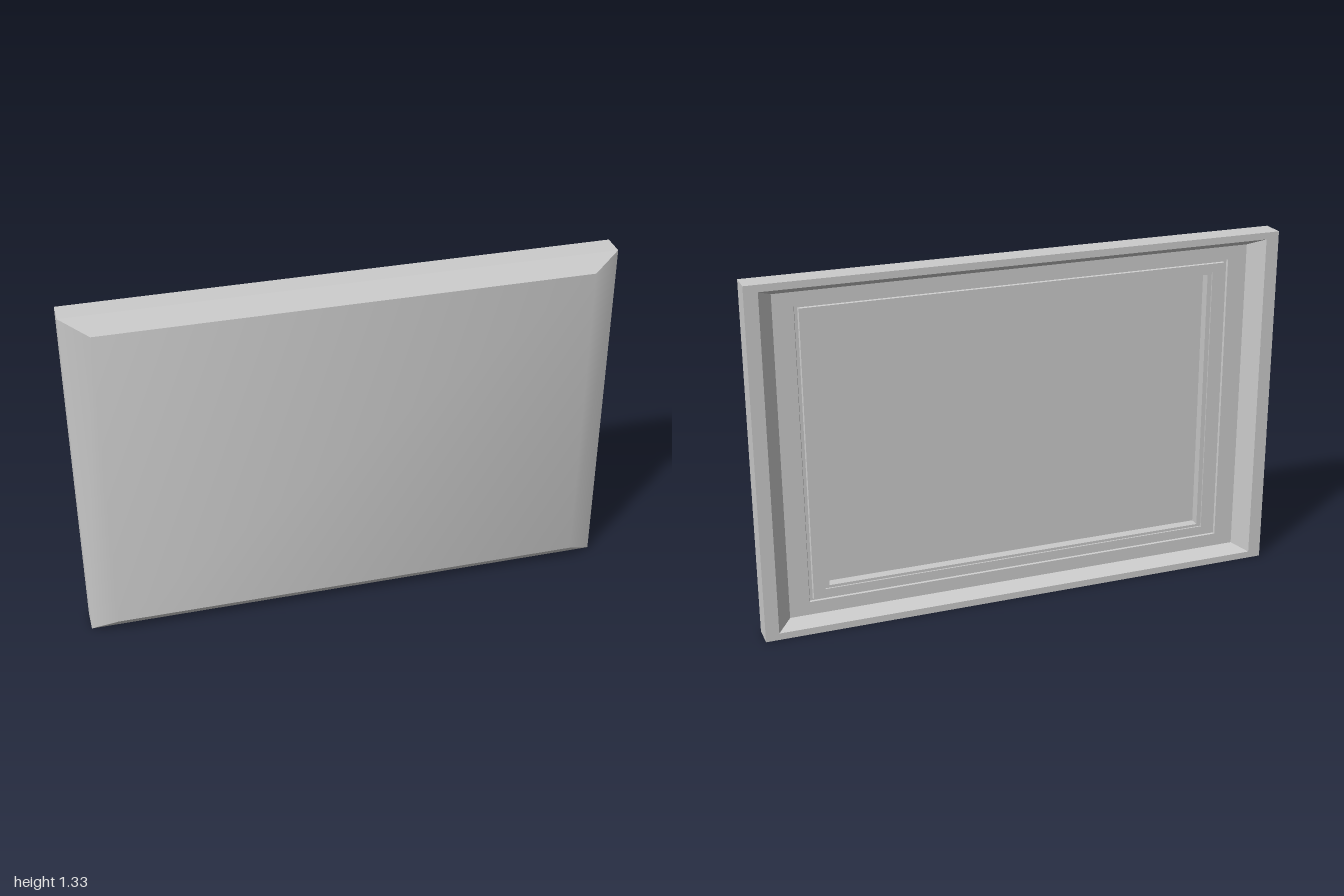
import * as THREE from 'three';
import { toCreasedNormals } from 'three/addons/utils/BufferGeometryUtils.js';

const MID_Y = 0.667;

// Skins a row of nested rectangles [halfWidth, halfHeight, z], running from the
// front outward, round the rim and inward at the back. Caps close either end.
function rectLoft(rings, capFront, capBack) {
  const signs = [[1, 1], [-1, 1], [-1, -1], [1, -1]];
  const positions = [];
  const index = [];
  for (const [hx, hy, z] of rings) {
    for (const [sx, sy] of signs) positions.push(sx * hx, MID_Y + sy * hy, z);
  }
  for (let r = 0; r < rings.length - 1; r++) {
    for (let i = 0; i < 4; i++) {
      const j = (i + 1) % 4;
      const a = r * 4 + i, d = r * 4 + j;
      const b = a + 4, c = d + 4;
      index.push(a, b, c, a, c, d);
    }
  }
  if (capFront) index.push(0, 1, 2, 0, 2, 3);
  if (capBack) {
    const k = (rings.length - 1) * 4;
    index.push(k, k + 2, k + 1, k, k + 3, k + 2);
  }
  const geometry = new THREE.BufferGeometry();
  geometry.setAttribute('position', new THREE.Float32BufferAttribute(positions, 3));
  geometry.setIndex(index);
  return toCreasedNormals(geometry, Math.PI / 6);
}

export function createModel() {
  const group = new THREE.Group();
  group.name = 'bevelledPanel';
  const material = new THREE.MeshStandardMaterial({ color: 0xcccccc });

  const add = (name, rings, capFront = false, capBack = false) => {
    const mesh = new THREE.Mesh(rectLoft(rings, capFront, capBack), material);
    mesh.name = name;
    group.add(mesh);
  };

  // Front face with bevelled border, and the straight outer sides
  add('frontShell', [
    [0.9, 0.612, 0.07],
    [1, 0.667, 0.018],
    [1, 0.667, -0.07],
  ], true);

  // Flat back rim and the sloping walls of the recess
  add('backRim', [
    [1, 0.667, -0.07],
    [0.95, 0.641, -0.07],
    [0.897, 0.614, -0.018],
  ]);

  // Recess floor with a thin groove, then a small step at the opening
  add('backMoulding', [
    [0.897, 0.614, -0.018],
    [0.822, 0.563, -0.018],
    [0.819, 0.561, -0.01],
    [0.808, 0.555, -0.01],
    [0.805, 0.553, -0.018],
    [0.76, 0.521, -0.018],
    [0.76, 0.521, -0.012],
    [0.743, 0.511, -0.012],
  ]);

  // Deep inner panel
  add('innerPanel', [
    [0.743, 0.511, -0.012],
    [0.743, 0.511, 0.025],
  ], false, true);

  return group;
}
